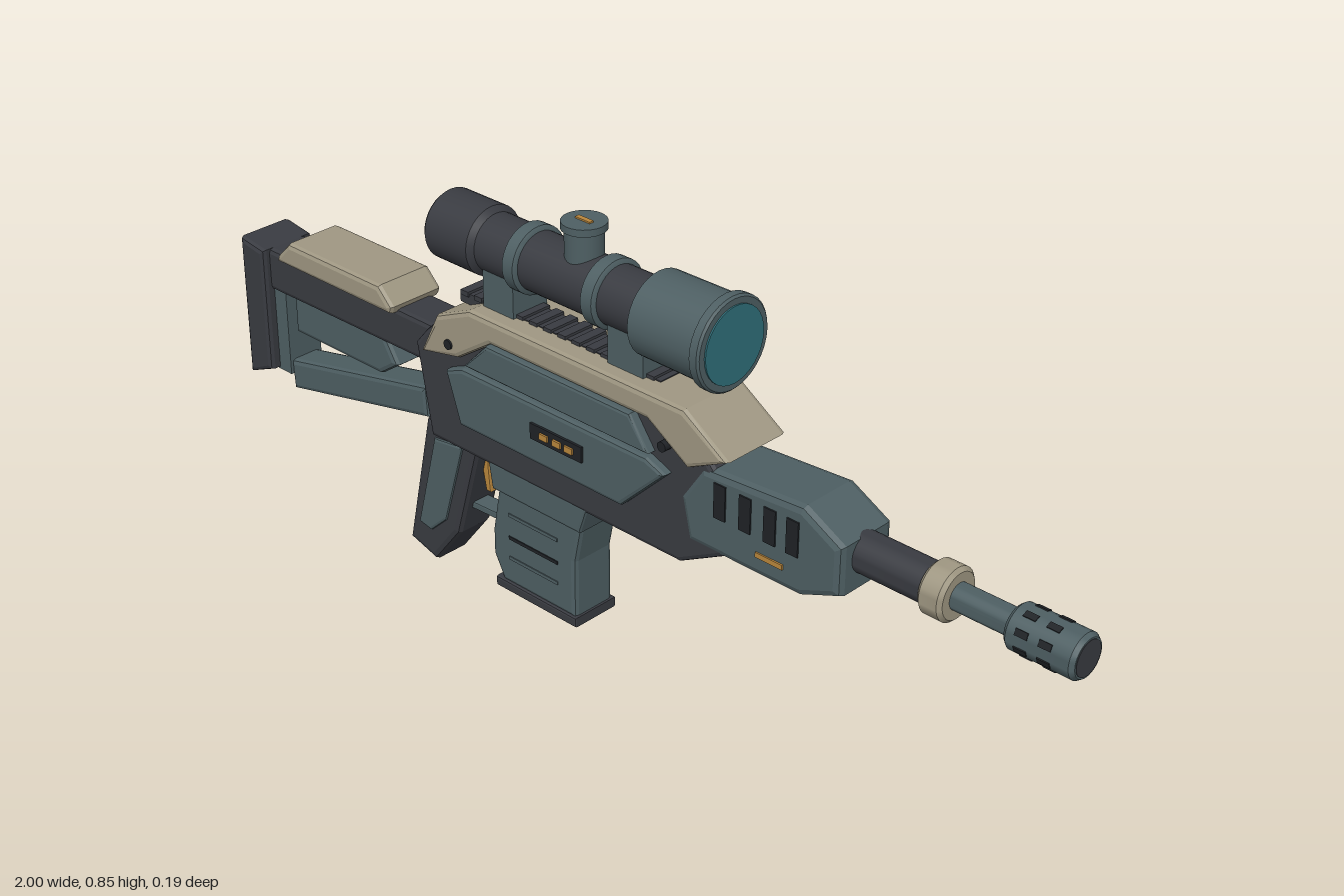
import * as THREE from 'three';
import { toCreasedNormals } from 'three/addons/utils/BufferGeometryUtils.js';

const material = (name, color) => {
  const m = new THREE.MeshStandardMaterial({ color });
  m.name = name;
  return m;
};

export function createModel() {
  const root = new THREE.Group();
  root.name = 'scopedRifle';
  const dark = material('charcoal', 0x393b41);
  const teal = material('slateTeal', 0x4e5f63);
  const tan = material('sand', 0x9f9782);
  const black = material('black', 0x1f2226);
  const glass = material('lensGlass', 0x2f6f7a);
  const gold = material('gold', 0xb9863c);

  const add = (name, geometry, mat, parent = root) => {
    const mesh = new THREE.Mesh(geometry, mat);
    mesh.name = name;
    parent.add(mesh);
    return mesh;
  };
  // Side profile in x/y, extruded symmetrically to the given half width
  const slab = (name, points, half, mat, bevel = 0.01) => {
    const shape = new THREE.Shape(points.map(p => new THREE.Vector2(...p)));
    const g = new THREE.ExtrudeGeometry(shape, {
      depth: 2 * (half - bevel), bevelEnabled: bevel > 0, bevelSize: bevel,
      bevelThickness: bevel, bevelOffset: -bevel, bevelSegments: 2,
    });
    g.translate(0, 0, -(half - bevel));
    return add(name, g, mat);
  };
  // Box from x/y limits and half width
  const box = (name, x0, x1, y0, y1, half, mat) => {
    const g = new THREE.BoxGeometry(x1 - x0, y1 - y0, 2 * half);
    g.translate((x0 + x1) / 2, (y0 + y1) / 2, 0);
    return add(name, g, mat);
  };
  // Turned part along x from [x, radius] pairs, closed at both ends
  const turned = (name, y, profile, mat) => {
    const pts = profile.map(([x, r]) => new THREE.Vector2(r, x));
    pts.unshift(new THREE.Vector2(0, profile[0][0]));
    pts.push(new THREE.Vector2(0, profile[profile.length - 1][0]));
    const g = toCreasedNormals(new THREE.LatheGeometry(pts, 32), 0.6);
    g.rotateZ(-Math.PI / 2);
    g.translate(0, y, 0);
    return add(name, g, mat);
  };
  // Thin painted plate repeated on both sides
  const decal = (name, x, y, w, h, z, mat) => {
    for (const s of [1, -1]) {
      add(name, new THREE.BoxGeometry(w, h, 0.006), mat).position.set(x, y, s * z);
    }
  };

  // Stock
  slab('buttPlate', [[-1, 0.23], [-0.93, 0.26], [-0.93, 0.525], [-1, 0.535]], 0.063, dark);
  slab('stockTube', [[-0.94, 0.435], [-0.94, 0.525], [-0.44, 0.525], [-0.44, 0.44]], 0.046, dark);
  box('stockUpright', -0.935, -0.895, 0.255, 0.44, 0.04, teal);
  slab('stockBlock', [[-0.87, 0.45], [-0.87, 0.36], [-0.615, 0.36], [-0.565, 0.395], [-0.6, 0.45]], 0.04, teal);
  slab('stockBrace', [[-0.9, 0.285], [-0.895, 0.22], [-0.485, 0.31], [-0.49, 0.375]], 0.036, teal);
  slab('cheekRest', [[-0.885, 0.52], [-0.88, 0.535], [-0.845, 0.57], [-0.58, 0.57], [-0.545, 0.535], [-0.55, 0.52]], 0.065, tan);

  // Receiver and its shell
  slab('receiver', [[-0.48, 0.49], [-0.45, 0.525], [-0.39, 0.58], [0.22, 0.58], [0.275, 0.515],
    [0.33, 0.5], [0.33, 0.37], [0.2, 0.3], [-0.445, 0.3]], 0.064, dark);
  slab('topShell', [[-0.45, 0.485], [-0.405, 0.575], [-0.315, 0.615], [0.215, 0.615], [0.315, 0.55],
    [0.225, 0.505], [0.13, 0.565], [-0.26, 0.565], [-0.35, 0.505]], 0.077, tan);
  slab('upperSidePanel', [[-0.325, 0.502], [-0.265, 0.564], [0.095, 0.564], [0.14, 0.502]], 0.084, teal, 0.006);
  slab('lowerSidePanel', [[-0.375, 0.475], [-0.33, 0.493], [0.135, 0.493], [0.18, 0.475],
    [0.075, 0.372], [-0.34, 0.372]], 0.085, teal, 0.008);
  decal('indicatorPlate', -0.08, 0.44, 0.13, 0.032, 0.087, black);
  for (const x of [-0.108, -0.075, -0.045]) decal('indicatorLight', x, 0.44, 0.02, 0.012, 0.091, gold);
  for (const x of [-0.37, 0.17]) {
    const g = new THREE.CylinderGeometry(0.01, 0.01, 0.162, 12);
    g.rotateX(Math.PI / 2);
    add('shellScrew', g, black).position.set(x, 0.528, 0);
  }

  // Top rail with teeth
  box('rail', -0.385, 0.12, 0.595, 0.617, 0.03, dark);
  for (let i = 0; i < 14; i++) {
    const x = -0.38 + i * 0.036;
    box('railTooth', x, x + 0.02, 0.612, 0.622, 0.034, dark);
  }

  // Handguard
  slab('handguard', [[0.2, 0.44], [0.25, 0.515], [0.475, 0.53], [0.56, 0.485], [0.56, 0.39],
    [0.475, 0.355], [0.22, 0.355]], 0.067, teal, 0.014);
  for (const x of [0.295, 0.352, 0.407, 0.457]) decal('ventSlot', x, 0.465, 0.026, 0.068, 0.067, black);
  decal('handguardMark', 0.408, 0.398, 0.06, 0.01, 0.067, gold);

  // Barrel
  const by = 0.452;
  turned('barrelSleeve', by, [[0.54, 0.038], [0.7, 0.038]], dark);
  turned('barrelCollar', by, [[0.7, 0.043], [0.707, 0.05], [0.743, 0.05], [0.75, 0.043]], tan);
  turned('barrel', by, [[0.74, 0.025], [0.88, 0.025]], teal);
  turned('muzzle', by, [[0.865, 0.036], [0.872, 0.042], [0.992, 0.042], [1, 0.036]], teal);
  turned('muzzleBore', by, [[0.99, 0.033], [1.001, 0.033]], dark);
  for (let i = 0; i < 8; i++) {
    const a = (i + 0.5) * Math.PI / 4;
    for (const x of [0.9, 0.945]) {
      const slot = add('muzzlePort', new THREE.BoxGeometry(0.024, 0.006, 0.012), black);
      slot.position.set(x, by + 0.0405 * Math.cos(a), 0.0405 * Math.sin(a));
      slot.rotation.x = a;
    }
  }

  // Grip and trigger
  slab('grip', [[-0.48, 0.32], [-0.545, 0.022], [-0.47, 0.0], [-0.4, 0.09], [-0.335, 0.32]], 0.045, dark, 0.012);
  slab('gripPanel', [[-0.455, 0.285], [-0.375, 0.295], [-0.43, 0.11], [-0.475, 0.068], [-0.51, 0.075]], 0.05, teal, 0.006);
  slab('trigger', [[-0.365, 0.31], [-0.345, 0.31], [-0.345, 0.25], [-0.34, 0.195], [-0.352, 0.195], [-0.363, 0.25]], 0.012, gold, 0.003);
  slab('triggerGuardFront', [[-0.315, 0.265], [-0.3, 0.265], [-0.27, 0.18], [-0.285, 0.18]], 0.02, teal, 0.003);
  slab('triggerGuardBase', [[-0.39, 0.145], [-0.385, 0.16], [-0.28, 0.165], [-0.28, 0.15]], 0.02, teal, 0.003);

  // Magazine
  slab('magazineCollar', [[-0.29, 0.31], [-0.03, 0.31], [-0.05, 0.25], [-0.28, 0.25]], 0.063, teal, 0.006);
  slab('magazine', [[-0.275, 0.27], [-0.055, 0.27], [-0.075, 0.17], [-0.075, 0.045],
    [-0.27, 0.045], [-0.297, 0.095], [-0.297, 0.15]], 0.049, teal);
  for (const y of [0.2, 0.15, 0.105]) decal('magazineGroove', -0.185, y, 0.13, 0.007, 0.048, y === 0.15 ? black : teal);
  slab('magazineBase', [[-0.285, 0.03], [-0.07, 0.03], [-0.07, 0.05], [-0.285, 0.05]], 0.054, dark, 0.004);

  // Scope
  const sy = 0.727;
  turned('eyepiece', sy, [[-0.44, 0.063], [-0.434, 0.068], [-0.325, 0.068], [-0.315, 0.057]], dark);
  turned('scopeTube', sy, [[-0.33, 0.057], [0.1, 0.057]], dark);
  for (const x of [-0.237, -0.042]) {
    turned('scopeRing', sy, [[x, 0.06], [x + 0.004, 0.066], [x + 0.03, 0.066], [x + 0.034, 0.06]], teal);
  }
  turned('objective', sy, [[0.085, 0.07], [0.088, 0.08], [0.235, 0.081], [0.238, 0.089], [0.254, 0.089], [0.258, 0.085]], teal);
  turned('frontLens', sy, [[0.25, 0.073], [0.261, 0.073]], glass);
  turned('rearLens', sy, [[-0.443, 0.053], [-0.435, 0.053]], glass);
  for (const [x0, x1] of [[-0.31, -0.232], [0.005, 0.09]]) box('scopeMount', x0, x1, 0.605, 0.69, 0.042, teal);

  // Elevation turret
  const turret = (name, r, y0, y1, mat) =>
    add(name, new THREE.CylinderGeometry(r, r, y1 - y0, 28), mat).position.set(-0.092, (y0 + y1) / 2, 0);
  turret('turretBody', 0.036, 0.76, 0.832, teal);
  turret('turretCap', 0.042, 0.828, 0.842, teal);
  box('turretMark', -0.11, -0.074, 0.84, 0.845, 0.005, gold);

  return root;
}
